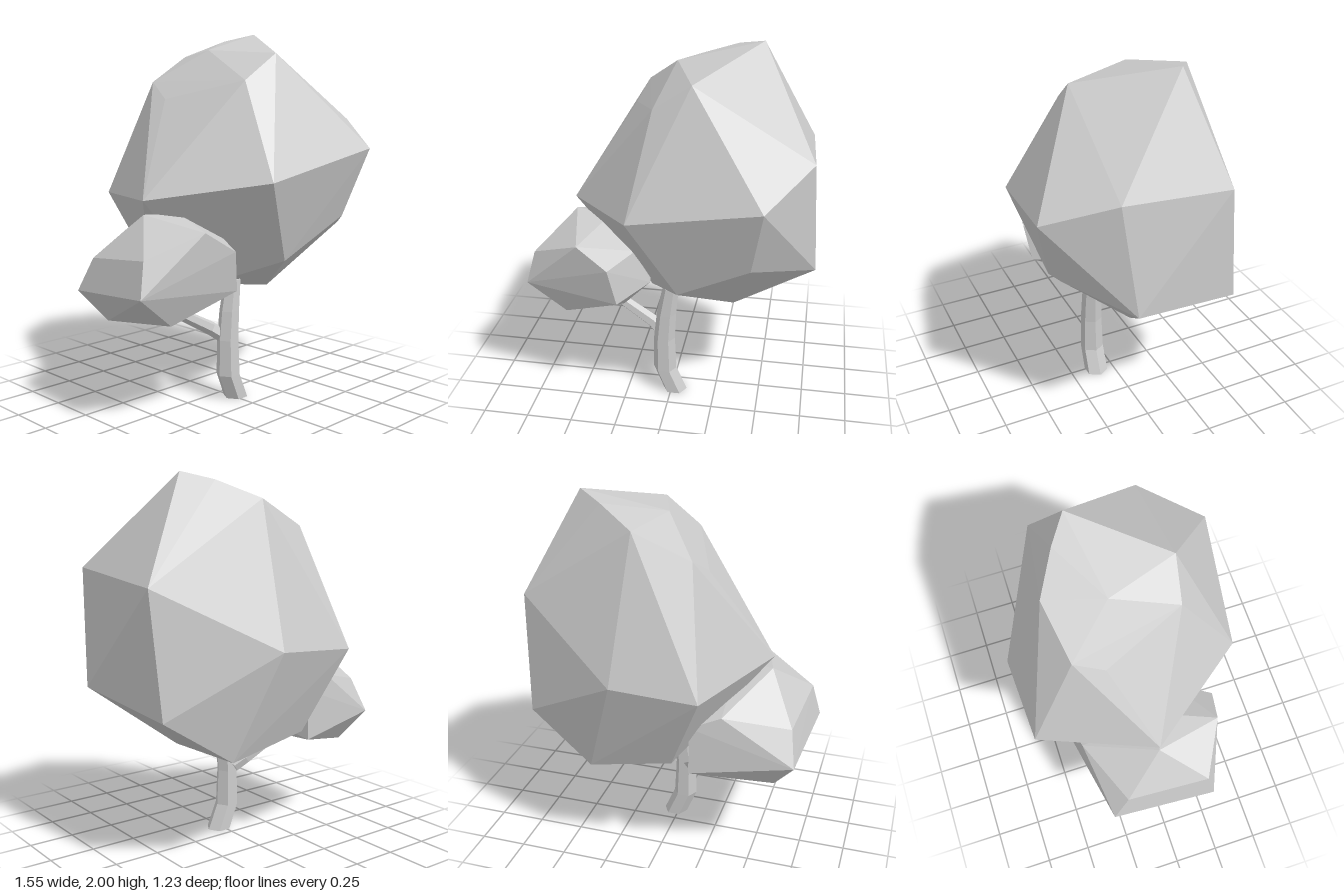
import * as THREE from 'three';
import { ConvexGeometry } from 'three/addons/geometries/ConvexGeometry.js';

const material = new THREE.MeshStandardMaterial({ color: 0xcccccc, flatShading: true });

// Faceted clump of leaves wrapped around a few corner points
function foliage(name, corners) {
  const geo = new ConvexGeometry(corners.map((c) => new THREE.Vector3(...c)));
  const mesh = new THREE.Mesh(geo, material);
  mesh.name = name;
  return mesh;
}

// Six-sided limb following stations [x, y, z, radius]; every ring faces along `axis`
function limb(name, stations, axis) {
  const n = stations.length - 1;
  const geo = new THREE.CylinderGeometry(1, 1, 1, 6, n, false, Math.PI / 6);
  const turn = new THREE.Quaternion().setFromUnitVectors(
    new THREE.Vector3(0, 1, 0), axis.clone().normalize());
  const pos = geo.attributes.position;
  const v = new THREE.Vector3();
  for (let i = 0; i < pos.count; i++) {
    const [x, y, z, r] = stations[Math.round((pos.getY(i) + 0.5) * n)];
    v.set(pos.getX(i) * r, 0, pos.getZ(i) * r).applyQuaternion(turn);
    pos.setXYZ(i, v.x + x, v.y + y, v.z + z);
  }
  geo.computeVertexNormals();
  const mesh = new THREE.Mesh(geo, material);
  mesh.name = name;
  return mesh;
}

export function createModel() {
  const tree = new THREE.Group();
  tree.name = 'tree';

  // Curved trunk, flat on the ground
  tree.add(limb('trunk', [
    [0.02, 0, 0.1, 0.068],
    [-0.038, 0.14, 0.1, 0.066],
    [-0.042, 0.34, 0.1, 0.06],
    [-0.03, 0.5, 0.1, 0.055],
    [-0.005, 0.67, 0.1, 0.045],
  ], new THREE.Vector3(0, 1, 0)));

  // Side branch carrying the small clump
  tree.add(limb('branch', [
    [-0.06, 0.36, 0.07, 0.04],
    [-0.12, 0.405, 0.04, 0.038],
    [-0.35, 0.535, 0, 0.03],
  ], new THREE.Vector3(-0.8, 0.55, -0.15)));

  // Large crown, listed from the top down
  tree.add(foliage('crown', [
    [0.44, 2.0, -0.165], [0.3, 1.96, -0.265], [0, 1.9, -0.09],
    [0.13, 1.88, 0.28], [0.1, 1.87, -0.385], [-0.07, 1.74, 0.25],
    [-0.19, 1.73, -0.33], [-0.235, 1.64, -0.18],
    [0.74, 1.52, 0.29], [0.72, 1.46, -0.31], [0.52, 1.38, 0.61],
    [-0.16, 1.24, 0.53], [-0.55, 1.14, 0], [0.15, 1.14, -0.62], [-0.3, 1.11, -0.6],
    [0.46, 1.01, 0.48], [0.775, 0.91, 0.21], [0.69, 0.82, -0.375], [0.08, 0.8, 0.4],
    [-0.12, 0.65, 0.04], [-0.12, 0.67, -0.45], [0.34, 0.57, 0.04], [0.33, 0.58, -0.45],
  ]));

  // Small clump on the branch, listed from the top down
  tree.add(foliage('smallClump', [
    [-0.545, 1.07, 0], [-0.35, 1.06, 0.05], [-0.46, 1.01, 0.36],
    [-0.18, 0.93, 0.2], [-0.36, 0.93, -0.37], [-0.29, 0.9, 0.4],
    [-0.735, 0.89, 0.22], [-0.2, 0.87, -0.41], [-0.7, 0.84, -0.22],
    [-0.11, 0.72, 0.15], [-0.78, 0.71, 0.25], [-0.25, 0.69, 0.37],
    [-0.735, 0.66, -0.31], [-0.2, 0.6, -0.41], [-0.2, 0.58, -0.12],
    [-0.27, 0.54, 0.1], [-0.57, 0.54, 0.23], [-0.62, 0.495, -0.21],
  ]));

  return tree;
}
